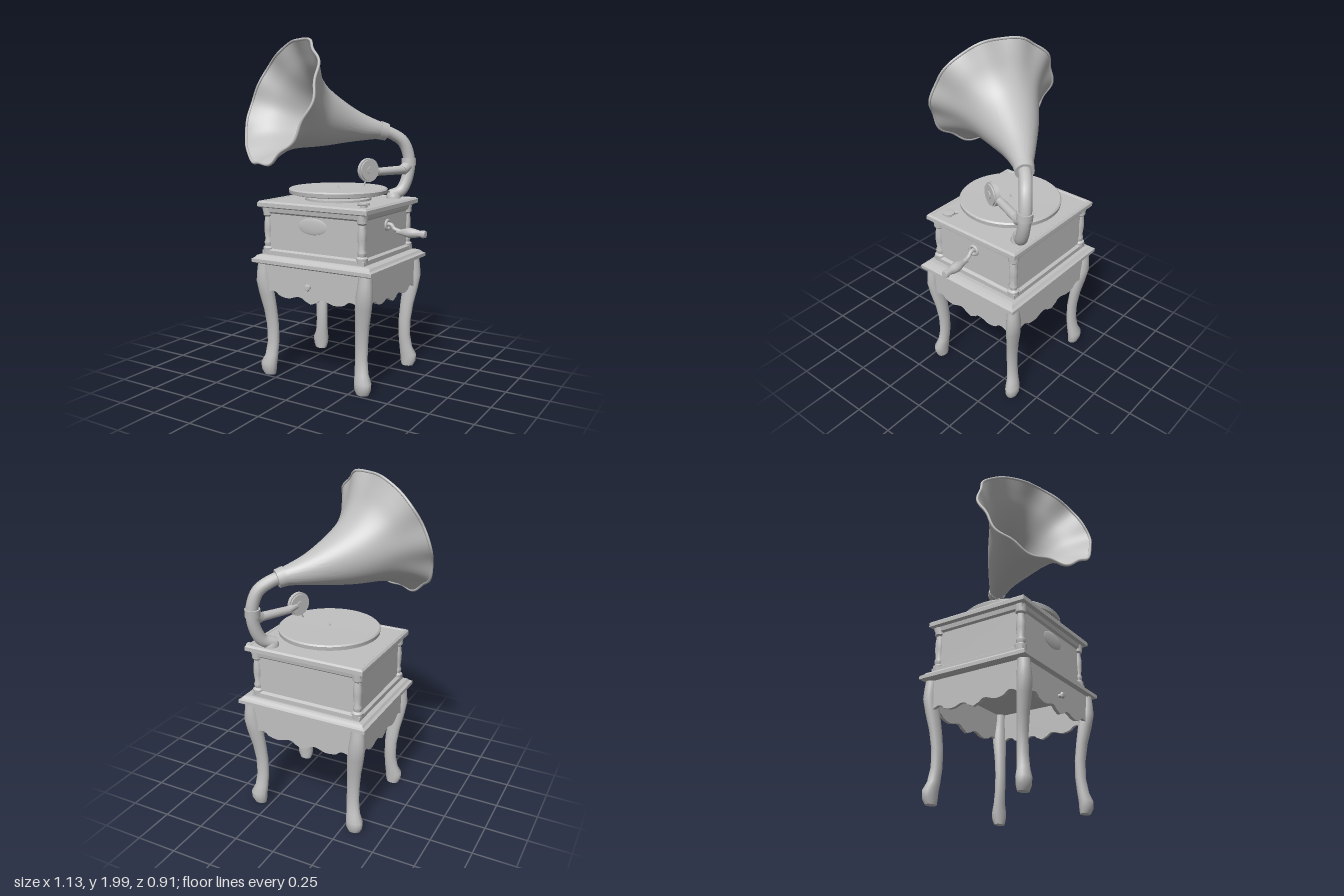
import * as THREE from 'three';
import { toCreasedNormals } from 'three/addons/utils/BufferGeometryUtils.js';

const V = (x, y, z) => new THREE.Vector3(x, y, z);
const CZ = -0.08; // cabinet centre in z

// Skin a stack of rings (each an array of Vector3), optionally capped
function loft(rings, caps = true, crease = 0.6) {
  const n = rings[0].length, idx = [];
  const pos = rings.flat().flatMap(p => [p.x, p.y, p.z]);
  for (let r = 0; r < rings.length - 1; r++)
    for (let i = 0; i < n; i++) {
      const a = r * n + i, b = r * n + (i + 1) % n;
      idx.push(a, a + n, b, b, a + n, b + n);
    }
  if (caps) {
    const t = (rings.length - 1) * n;
    for (let i = 1; i < n - 1; i++) idx.push(0, i, i + 1, t, t + i + 1, t + i);
  }
  const g = new THREE.BufferGeometry();
  g.setAttribute('position', new THREE.Float32BufferAttribute(pos, 3));
  g.setIndex(idx);
  return toCreasedNormals(g, crease);
}

// Rectangular moulding from rows of [y, half width, half depth]
const moulding = rows => loft(rows.map(([y, w, d]) =>
  [V(w, y, -d), V(w, y, d), V(-w, y, d), V(-w, y, -d)]), true, 0.2);

const lathe = (pts, seg = 20) => toCreasedNormals(
  new THREE.LatheGeometry(pts.map(p => new THREE.Vector2(...p)), seg), 0.7);

const tube = (pts, r, seg = 24) =>
  new THREE.TubeGeometry(new THREE.CatmullRomCurve3(pts), seg, r, 14);

export function createModel() {
  const model = new THREE.Group();
  model.name = 'gramophone';
  const grey = new THREE.MeshStandardMaterial({ color: 0xc0c0c0, side: THREE.DoubleSide });
  grey.name = 'light grey';
  const add = (name, geo, x = 0, y = 0, z = 0) => {
    const m = new THREE.Mesh(geo, grey);
    m.name = name;
    m.position.set(x, y, z);
    model.add(m);
    return m;
  };
  // Rod or disc whose axis runs between two points
  const rod = (name, a, b, r1, r2 = r1, seg = 18) => {
    const m = add(name, new THREE.CylinderGeometry(r2, r1, a.distanceTo(b), seg));
    m.position.copy(a).lerp(b, 0.5);
    m.quaternion.setFromUnitVectors(V(0, 1, 0), b.clone().sub(a).normalize());
  };

  // Cabriole legs: [y, centre x, half x, centre z, half z]
  const legRows = [
    [0, 0.322, 0.038, 0.288, 0.028], [0.03, 0.325, 0.05, 0.293, 0.036],
    [0.07, 0.325, 0.053, 0.293, 0.038], [0.12, 0.312, 0.042, 0.283, 0.031],
    [0.2, 0.305, 0.038, 0.274, 0.028], [0.3, 0.307, 0.04, 0.274, 0.028],
    [0.4, 0.316, 0.044, 0.284, 0.03], [0.5, 0.33, 0.051, 0.299, 0.036],
    [0.58, 0.342, 0.05, 0.309, 0.039], [0.64, 0.345, 0.042, 0.308, 0.036],
    [0.7, 0.343, 0.038, 0.304, 0.034]];
  for (const sx of [-1, 1]) for (const sz of [-1, 1]) {
    const rings = legRows.map(([y, x, hx, z, hz]) => Array.from({ length: 12 }, (_, i) => {
      const a = i / 12 * Math.PI * 2;
      return V(sx * x + Math.cos(a) * hx, y, sz * z + Math.sin(a) * hz);
    }));
    add('leg', loft(rings, true, 0.9), 0, 0, CZ);
  }

  // Scalloped apron boards
  const apron = w => {
    const s = new THREE.Shape();
    s.moveTo(-w, 0.7);
    s.lineTo(-w, 0.49);
    s.quadraticCurveTo(-w * 0.78, 0.56, -w * 0.66, 0.51);
    s.quadraticCurveTo(-w * 0.5, 0.49, -w * 0.38, 0.505);
    s.quadraticCurveTo(-w * 0.2, 0.53, -w * 0.13, 0.5);
    s.lineTo(0, 0.483);
    s.lineTo(w * 0.13, 0.5);
    s.quadraticCurveTo(w * 0.2, 0.53, w * 0.38, 0.505);
    s.quadraticCurveTo(w * 0.5, 0.49, w * 0.66, 0.51);
    s.quadraticCurveTo(w * 0.78, 0.56, w, 0.49);
    s.lineTo(w, 0.7);
    return new THREE.ExtrudeGeometry(s, { depth: 0.02, bevelEnabled: false, curveSegments: 8 });
  };
  for (let i = 0; i < 4; i++) {
    const side = i % 2, g = apron(side ? 0.3 : 0.34);
    g.translate(0, 0, side ? 0.343 : 0.305).rotateY(i * Math.PI / 2);
    add('apron', g, 0, 0, CZ);
  }
  const pull = add('drawerPull', lathe([[0, 0], [0.012, 0], [0.01, 0.015], [0.02, 0.022],
    [0.016, 0.032], [0, 0.035]], 12), -0.01, 0.585, CZ + 0.323);
  pull.rotation.x = Math.PI / 2;

  // Base slab, cabinet box and lid
  add('baseSlab', moulding([[0.685, 0.385, 0.33], [0.695, 0.405, 0.35], [0.715, 0.405, 0.35],
    [0.722, 0.39, 0.338], [0.735, 0.38, 0.325], [0.74, 0.36, 0.315]]), 0, 0, CZ);
  add('cabinetBox', moulding([[0.735, 0.345, 0.305], [0.765, 0.345, 0.305], [0.775, 0.328, 0.288],
    [0.985, 0.328, 0.288], [0.995, 0.34, 0.3], [1.025, 0.345, 0.305]]), -0.01, 0, CZ);
  add('lid', moulding([[1.02, 0.35, 0.31], [1.027, 0.368, 0.325], [1.05, 0.368, 0.325],
    [1.06, 0.358, 0.316], [1.06, 0.345, 0.303], [1.055, 0.34, 0.298]]), -0.007, 0, CZ);

  // Turned corner columns
  const column = lathe([[0.032, 0.75], [0.034, 0.78], [0.022, 0.79], [0.027, 0.81], [0.02, 0.83],
    [0.026, 0.88], [0.026, 0.92], [0.02, 0.965], [0.03, 0.975], [0.032, 1.02]], 14);
  for (const sx of [-1, 1]) for (const sz of [-1, 1])
    add('cornerColumn', column, -0.01 + sx * 0.318, 0, CZ + sz * 0.277);

  // Shallow swell on the front panel
  add('frontRelief', new THREE.SphereGeometry(1, 20, 12), -0.01, 0.93, CZ + 0.286).scale.set(0.1, 0.05, 0.008);

  // Turntable
  add('turntable', lathe([[0, 1.06], [0.2, 1.06], [0.2, 1.072], [0.07, 1.078], [0.07, 1.09], [0.27, 1.094],
    [0.293, 1.1], [0.296, 1.122], [0.288, 1.13], [0, 1.128]], 48), -0.01, 0, CZ + 0.005);
  add('spindle', new THREE.ConeGeometry(0.008, 0.03, 10), -0.01, 1.14, CZ + 0.005);
  add('brakeKnob', lathe([[0, 1.055], [0.02, 1.055], [0.02, 1.065], [0.036, 1.07], [0.036, 1.08], [0, 1.084]], 16), 0.285, 0, 0.14);
  rod('brakeLever', V(0.285, 1.067, 0.14), V(0.24, 1.067, 0.115), 0.01);

  // Winding crank
  const boss = add('crankBoss', new THREE.TorusGeometry(0.026, 0.01, 8, 18), 0.32, 0.93, CZ);
  boss.rotation.y = Math.PI / 2;
  add('crankArm', tube([V(0.3, 0.932, CZ), V(0.345, 0.932, CZ), V(0.365, 0.91, CZ), V(0.41, 0.897, CZ)], 0.012));
  const handle = add('crankHandle', lathe([[0, 0], [0.014, 0], [0.014, 0.02], [0.022, 0.05], [0.03, 0.08],
    [0.027, 0.11], [0.018, 0.145], [0.023, 0.165], [0.02, 0.18], [0, 0.182]], 16), 0.382, 0.895, CZ);
  handle.rotation.z = -Math.PI / 2;

  // Horn support elbow with collars
  add('hornElbow', tube([V(0.215, 1.07, -0.315), V(0.262, 1.1, -0.37), V(0.29, 1.2, -0.408), V(0.29, 1.3, -0.415),
    V(0.262, 1.395, -0.393), V(0.21, 1.443, -0.35), V(0.15, 1.472, -0.29)], 0.036, 36));
  add('elbowFoot', lathe([[0, 1.05], [0.045, 1.05], [0.045, 1.068], [0.036, 1.085], [0, 1.085]]), 0.23, 0, -0.33);
  rod('elbowCollar', V(0.291, 1.25, -0.412), V(0.289, 1.295, -0.415), 0.044);
  rod('neckCollar', V(0.182, 1.456, -0.323), V(0.15, 1.468, -0.29), 0.053, 0.057);

  // Tone arm and sound box
  rod('toneArmRoot', V(0.292, 1.255, -0.41), V(0.278, 1.225, -0.355), 0.034, 0.032);
  rod('toneArm', V(0.285, 1.228, -0.37), V(0.2, 1.225, -0.18), 0.027, 0.024);
  const sound = V(0.18, 1.24, -0.1), axis = V(0.9, 0, 0.41).normalize();
  const along = d => sound.clone().addScaledVector(axis, d);
  rod('soundBox', along(-0.02), along(0.02), 0.062, 0.062, 24);
  rod('soundBoxRim', along(-0.01), along(0.01), 0.07, 0.07, 24);
  rod('soundBoxHub', along(-0.026), along(0.026), 0.022);
  rod('soundBoxLink', V(0.2, 1.225, -0.18), sound, 0.022);
  rod('needle', V(0.165, 1.15, -0.07), V(0.175, 1.19, -0.09), 0.003, 0.007, 8);

  // Flared horn with a gently scalloped mouth
  const path = new THREE.CatmullRomCurve3([V(0.17, 1.462, -0.31), V(0.03, 1.497, -0.16),
    V(-0.108, 1.553, 0.03), V(-0.215, 1.637, 0.232)]);
  const flare = new THREE.SplineCurve([[0, 0.045], [0.25, 0.09], [0.5, 0.151], [0.7, 0.204],
    [0.83, 0.256], [0.93, 0.322], [1, 0.376]].map(p => new THREE.Vector2(...p)));
  const rings = [];
  for (let k = 0; k <= 24; k++) {
    const { x: t, y: r } = flare.getPoint(k / 24), u = Math.min(1, Math.max(0, t));
    const c = path.getPointAt(u), T = path.getTangentAt(u);
    const U = V(0, 1, 0).cross(T).normalize(), W = U.clone().cross(T), ramp = u ** 9;
    rings.push(Array.from({ length: 80 }, (_, i) => {
      const a = i / 80 * Math.PI * 2, wave = Math.cos(10 * a) * ramp;
      const rr = r + 0.008 * wave;
      return c.clone().addScaledVector(U, rr * Math.cos(a)).addScaledVector(W, rr * Math.sin(a))
        .addScaledVector(T, -0.006 * wave);
    }));
  }
  add('horn', loft(rings, false, 1.2));
  add('hornRim', new THREE.TubeGeometry(new THREE.CatmullRomCurve3(rings[24], true), 160, 0.008, 8, true));

  return model;
}
